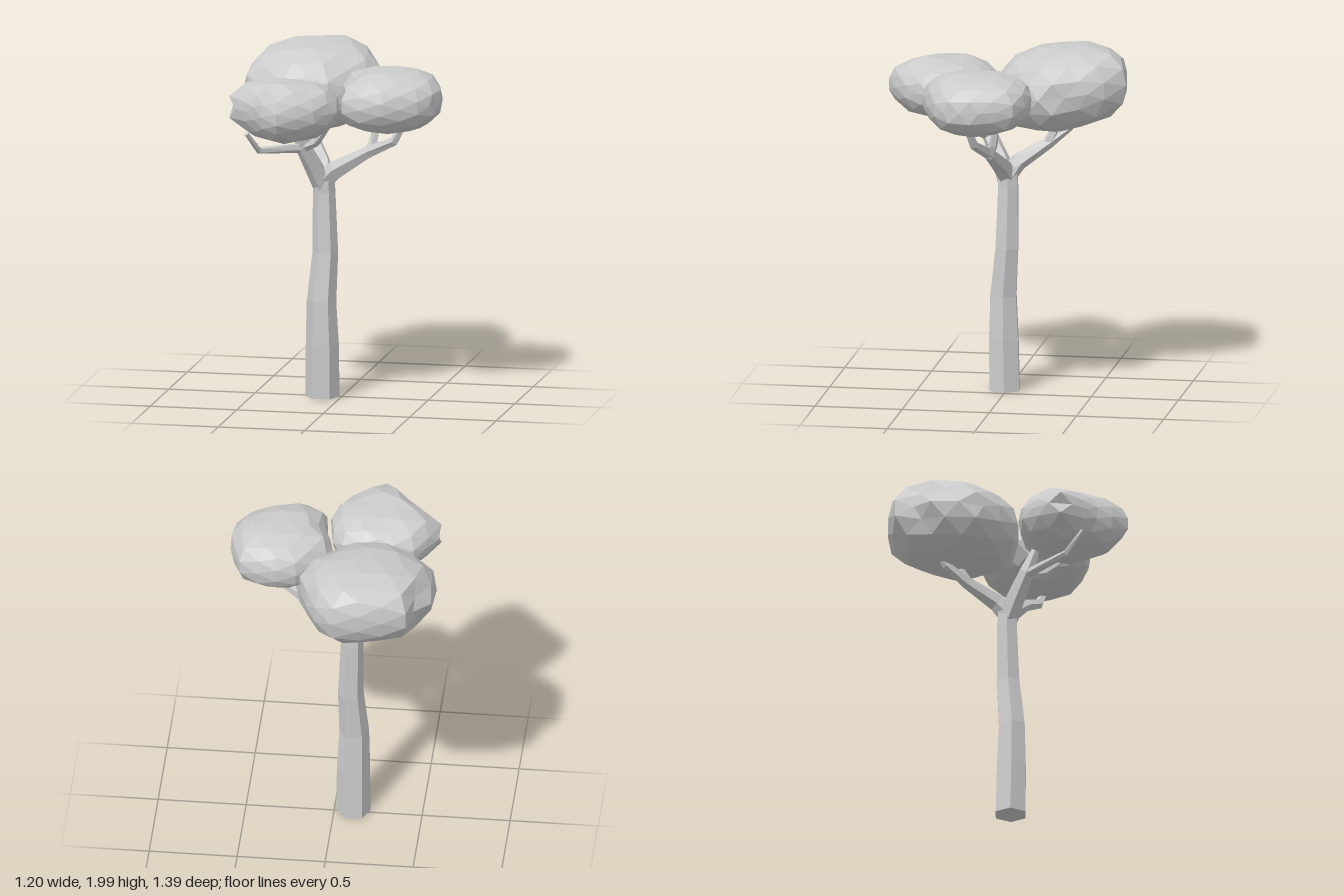
import * as THREE from 'three';

const material = new THREE.MeshStandardMaterial({ color: 0xcccccc, flatShading: true });

function addMesh(parent, name, geometry) {
  const mesh = new THREE.Mesh(geometry, material);
  mesh.name = name;
  parent.add(mesh);
}

// Faceted tapering limb through stations [x, y, z, radius], closed at both ends
function limb(stations, sides) {
  const centres = stations.map(([x, y, z]) => new THREE.Vector3(x, y, z));
  const last = centres.length - 1;
  const positions = [], index = [];
  centres.forEach((c, k) => {
    const t = centres[Math.min(k + 1, last)].clone().sub(centres[Math.max(k - 1, 0)]).normalize();
    if (c.y === 0) t.set(0, 1, 0);
    const u = new THREE.Vector3(0, 0, 1).cross(t).normalize();
    const v = t.clone().cross(u);
    for (let i = 0; i < sides; i++) {
      const a = (i / sides) * Math.PI * 2 + 0.12;
      const p = c.clone().addScaledVector(u, Math.cos(a) * stations[k][3])
        .addScaledVector(v, Math.sin(a) * stations[k][3]);
      positions.push(p.x, p.y, p.z);
    }
  });
  const bottom = positions.length / 3, top = bottom + 1;
  positions.push(...centres[0].toArray(), ...centres[last].toArray());
  for (let i = 0; i < sides; i++) {
    const j = (i + 1) % sides;
    for (let k = 0; k < last; k++) {
      const a = k * sides + i, b = k * sides + j;
      index.push(a, b, b + sides, a, b + sides, a + sides);
    }
    index.push(bottom, j, i, top, last * sides + i, last * sides + j);
  }
  const geometry = new THREE.BufferGeometry();
  geometry.setAttribute('position', new THREE.Float32BufferAttribute(positions, 3));
  geometry.setIndex(index);
  geometry.computeVertexNormals();
  return geometry;
}

// Distance from the centre to the plan outline along a direction
function reach(outline, cx, cz, dx, dz) {
  let best = 0;
  outline.forEach(([px, pz], i) => {
    const [qx, qz] = outline[(i + 1) % outline.length];
    const ex = qx - px, ez = qz - pz, det = dx * ez - dz * ex;
    if (Math.abs(det) < 1e-9) return;
    const wx = px - cx, wz = pz - cz;
    const t = (wx * ez - wz * ex) / det;
    const s = (wx * dz - wz * dx) / det;
    if (s >= -1e-6 && s <= 1 + 1e-6) best = Math.max(best, t);
  });
  return best;
}

// Repeatable bump between -1 and 1, equal for corners sharing a direction
function bump(d) {
  const n = Math.round(d.x * 500) * 12.9898 + Math.round(d.y * 500) * 78.233 + Math.round(d.z * 500) * 37.719;
  const s = Math.sin(n) * 43758.5453;
  return (s - Math.floor(s)) * 2 - 1;
}

// Flattened leaf cloud: an icosphere stretched to a plan outline
function crown({ centre: [cx, cy, cz], half, tilt, rough, outline }) {
  const geometry = new THREE.IcosahedronGeometry(1, 2);
  const pos = geometry.attributes.position;
  const d = new THREE.Vector3();
  const power = 2.4;
  for (let i = 0; i < pos.count; i++) {
    d.fromBufferAttribute(pos, i).normalize();
    const h = Math.hypot(d.x, d.z);
    const s = Math.pow(Math.pow(h, power) + Math.pow(Math.abs(d.y), power), -1 / power);
    const r = h > 1e-6 ? reach(outline, cx, cz, d.x / h, d.z / h) * 1.02 : 0;
    const x = h > 1e-6 ? (d.x / h) * r * h * s : 0;
    const z = h > 1e-6 ? (d.z / h) * r * h * s : 0;
    const y = d.y * s * half * (1 + rough * bump(d)) + tilt * z;
    pos.setXYZ(i, cx + x, cy + y, cz + z);
  }
  geometry.computeVertexNormals();
  return geometry;
}

const crowns = {
  backCrown: {
    centre: [-0.2, 1.75, -0.3], half: 0.24, tilt: -0.12, rough: 0.04,
    outline: [[-0.14, -0.7], [-0.06, -0.69], [0.09, -0.54], [0.12, -0.42], [0.19, -0.26], [0.1, -0.12],
      [-0.03, 0.02], [-0.1, 0.06], [-0.33, 0.08], [-0.42, 0.04], [-0.58, -0.12], [-0.6, -0.2],
      [-0.58, -0.39], [-0.5, -0.45], [-0.46, -0.61], [-0.38, -0.65], [-0.27, -0.63]],
  },
  leftCrown: {
    centre: [0.31, 1.75, 0.1], half: 0.178, tilt: -0.03, rough: 0.04,
    outline: [[0.3, -0.205], [0.46, -0.18], [0.53, -0.13], [0.6, 0.08], [0.58, 0.22], [0.51, 0.31],
      [0.35, 0.395], [0.18, 0.43], [0.1, 0.41], [0.06, 0.32], [0.07, 0.19], [0.01, 0.07],
      [0.01, 0], [0.1, -0.1], [0.18, -0.18]],
  },
  frontCrown: {
    centre: [-0.23, 1.72, 0.36], half: 0.172, tilt: 0, rough: 0.08,
    outline: [[-0.4, 0.08], [-0.3, 0.1], [-0.16, 0.085], [-0.03, 0.14], [0.02, 0.19], [0.06, 0.41],
      [-0.04, 0.57], [-0.19, 0.69], [-0.25, 0.7], [-0.31, 0.67], [-0.35, 0.58], [-0.49, 0.45],
      [-0.58, 0.36], [-0.55, 0.27]],
  },
};

// Boughs rise from the fork, twigs carry on into the crowns
const boughs = {
  leftBough: [[-0.1, 1.24, 0, 0.055], [-0.03, 1.31, 0.02, 0.055], [0.17, 1.43, 0.06, 0.035], [0.33, 1.51, 0.12, 0.027], [0.4, 1.63, 0.15, 0.018]],
  leftTwig: [[0.16, 1.41, 0.06, 0.032], [0.19, 1.48, 0.03, 0.026], [0.22, 1.64, 0, 0.014]],
  backBough: [[-0.1, 1.24, 0, 0.055], [-0.12, 1.32, -0.06, 0.052], [-0.2, 1.42, -0.22, 0.036], [-0.27, 1.5, -0.33, 0.025], [-0.3, 1.63, -0.4, 0.018]],
  backTwig: [[-0.19, 1.41, -0.21, 0.03], [-0.2, 1.48, -0.25, 0.025], [-0.2, 1.58, -0.26, 0.014]],
  frontBough: [[-0.11, 1.22, 0, 0.06], [-0.15, 1.33, 0.05, 0.055], [-0.2, 1.46, 0.12, 0.045], [-0.21, 1.62, 0.18, 0.018]],
  frontTwig: [[-0.2, 1.45, 0.12, 0.03], [-0.4, 1.475, 0.37, 0.02], [-0.45, 1.59, 0.47, 0.013]],
  innerTwig: [[-0.19, 1.45, 0.12, 0.028], [-0.1, 1.5, 0.2, 0.022], [-0.02, 1.6, 0.29, 0.013]],
};

export function createModel() {
  const tree = new THREE.Group();
  tree.name = 'tree';

  // Slightly crooked trunk
  addMesh(tree, 'trunk', limb([
    [-0.108, 0, 0.015, 0.097], [-0.108, 0.3, 0.02, 0.094], [-0.112, 0.55, 0.023, 0.084],
    [-0.095, 0.83, 0, 0.073], [-0.103, 1.18, -0.006, 0.064], [-0.105, 1.28, 0, 0.062],
  ], 6));

  const branches = new THREE.Group();
  branches.name = 'branches';
  for (const [name, stations] of Object.entries(boughs)) addMesh(branches, name, limb(stations, 5));

  const foliage = new THREE.Group();
  foliage.name = 'foliage';
  for (const [name, spec] of Object.entries(crowns)) addMesh(foliage, name, crown(spec));

  tree.add(branches, foliage);
  return tree;
}
